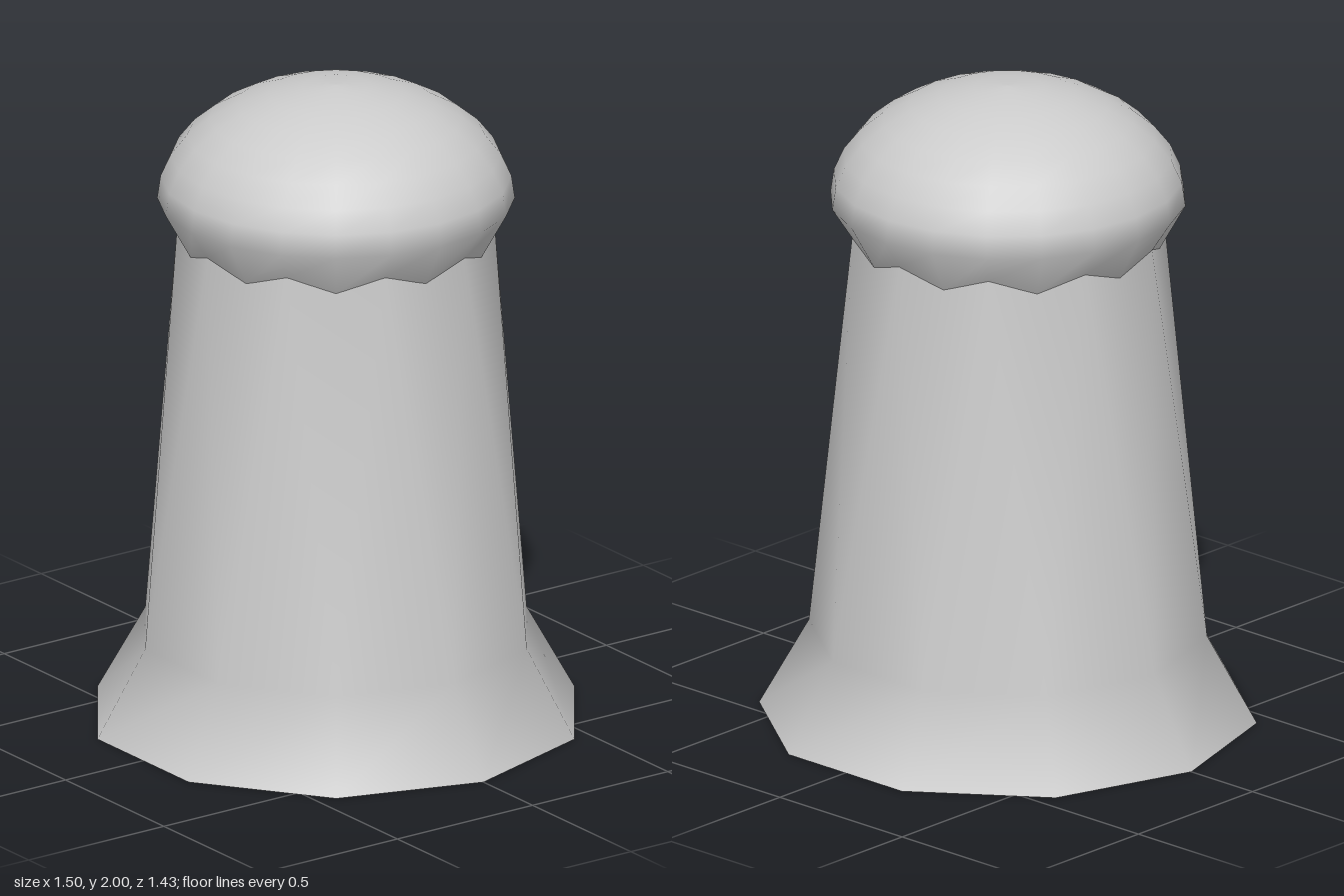
import * as THREE from 'three';

const material = new THREE.MeshStandardMaterial({ color: 0xcccccc });

// Skins a stack of rings, bottom to top; point(ring, i) gives [radius, height, angle]
function loft(name, rings, sides, point) {
  const positions = [], index = [];
  for (let k = 0; k < rings; k++) {
    for (let i = 0; i < sides; i++) {
      const [r, y, a] = point(k, i);
      positions.push(r * Math.cos(a), y, r * Math.sin(a));
    }
  }
  for (let k = 0; k < rings - 1; k++) {
    for (let i = 0; i < sides; i++) {
      const j = (i + 1) % sides, lo = k * sides, hi = lo + sides;
      index.push(lo + i, hi + i, lo + j, lo + j, hi + i, hi + j);
    }
  }
  const geometry = new THREE.BufferGeometry();
  geometry.setAttribute('position', new THREE.Float32BufferAttribute(positions, 3));
  geometry.setIndex(index);
  geometry.computeVertexNormals();
  const mesh = new THREE.Mesh(geometry, material);
  mesh.name = name;
  return mesh;
}

export function createModel() {
  const group = new THREE.Group();
  group.name = 'bollard';

  // Ten-sided post with a flared foot; the upper rings are turned half a side
  const step = Math.PI / 5;
  const profile = [[0.75, 0, 0], [0.6, 0.27, 0], [0.475, 1.55, 0.5], [0.47, 1.6, 0.5]];
  group.add(loft('post', profile.length, 10, (k, i) => {
    const [r, y, turn] = profile[k];
    return [r, y, (i + turn) * step];
  }));

  // Flat underside
  const base = new THREE.Mesh(new THREE.CircleGeometry(0.75, 10), material);
  base.rotation.x = Math.PI / 2;
  base.name = 'underside';
  group.add(base);

  // Domed cap whose zigzag lower rim meets the post
  const domeRings = 9;
  group.add(loft('cap', domeRings + 1, 20, (k, i) => {
    const a = i * Math.PI / 10;
    if (k === 0) return i % 2 ? [0.477, 1.55, a] : [0.457, 1.5, a];
    const t = (k - 1) / (domeRings - 1) * Math.PI / 2;
    return [0.535 * Math.cos(t), 1.64 + 0.36 * Math.sin(t), a];
  }));

  return group;
}
